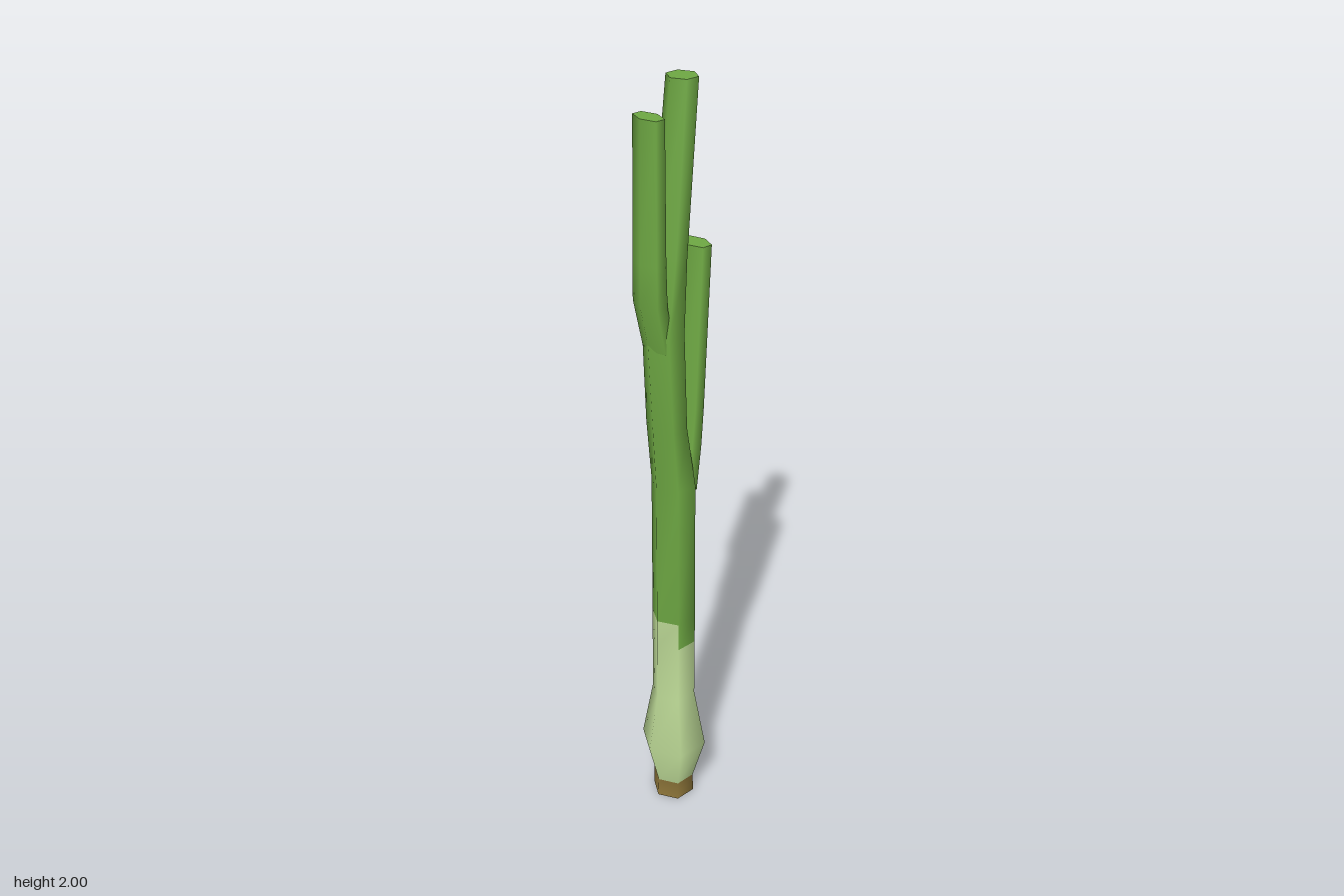
import * as THREE from 'three';

const mat = (name, color) => Object.assign(new THREE.MeshStandardMaterial({ color }), { name });

const SIDES = 6;

// Six-sided loft through rings [y, centreX, halfX, radiusZ], smooth along its length.
// bandMaterial(ring, side) picks a material index; the ends get hard-edged caps.
function loft(rings, bandMaterial = () => 0, capBottom = 0, capTop = 0) {
  const pos = [], buckets = [[], [], []];
  const addRing = ([y, cx, rx, rz]) => {
    const start = pos.length / 3;
    for (let i = 0; i < SIDES; i++) {
      const a = (i / SIDES) * Math.PI * 2;
      pos.push(cx + rx * Math.cos(a), y, rz * Math.sin(a));
    }
    return start;
  };
  rings.forEach(addRing);
  for (let r = 0; r < rings.length - 1; r++) {
    for (let i = 0; i < SIDES; i++) {
      const a = r * SIDES + i, b = r * SIDES + (i + 1) % SIDES;
      buckets[bandMaterial(r, i)].push(a, a + SIDES, b, b, a + SIDES, b + SIDES);
    }
  }
  const bottom = addRing(rings[0]), top = addRing(rings[rings.length - 1]);
  for (let i = 1; i < SIDES - 1; i++) {
    buckets[capBottom].push(bottom, bottom + i, bottom + i + 1);
    buckets[capTop].push(top, top + i + 1, top + i);
  }
  const geo = new THREE.BufferGeometry();
  geo.setAttribute('position', new THREE.Float32BufferAttribute(pos, 3));
  geo.setIndex(buckets.flat());
  let start = 0;
  buckets.forEach((b, m) => {
    if (b.length) geo.addGroup(start, b.length, m);
    start += b.length;
  });
  geo.computeVertexNormals();
  return geo;
}

export function createModel() {
  const green = mat('leafGreen', 0x6ea843);
  const pale = mat('paleStalk', 0xbfdc98);
  const brown = mat('rootBrown', 0x937a3c);
  const materials = [green, pale, brown];
  const group = new THREE.Group();
  group.name = 'leek';
  const add = (name, geo) => {
    const mesh = new THREE.Mesh(geo, materials);
    mesh.name = name;
    group.add(mesh);
  };

  // Root, bulb, stalk and tallest leaf in one run
  const stem = [
    [0, 0.001, 0.057, 0.057],
    [0.055, 0.001, 0.055, 0.056],
    [0.18, 0.002, 0.088, 0.089],
    [0.35, 0.001, 0.058, 0.058],
    [0.52, 0.001, 0.058, 0.058],
    [0.6, 0.001, 0.057, 0.058],
    [1.0, 0, 0.056, 0.057],
    [1.17, -0.022, 0.044, 0.056],
    [1.42, -0.032, 0.048, 0.054],
    [1.6, -0.013, 0.034, 0.048],
    [2.0, 0.025, 0.035, 0.039],
  ];
  // The pale colour climbs higher on the two faces at -x
  const stemColour = (r, i) => {
    if (r === 0) return 2;
    if (r < 4) return 1;
    return r === 4 && (i === 2 || i === 3) ? 1 : 0;
  };
  add('stalk', loft(stem, stemColour, 2, 0));

  // Short leaf on the left
  add('shortLeaf', loft([
    [0.98, 0.026, 0.028, 0.048],
    [1.1, 0.037, 0.030, 0.050],
    [1.2, 0.047, 0.027, 0.048],
    [1.61, 0.07, 0.027, 0.043],
  ]));

  // Upright leaf on the right
  add('uprightLeaf', loft([
    [1.38, -0.046, 0.029, 0.046],
    [1.5, -0.071, 0.030, 0.049],
    [1.6, -0.072, 0.028, 0.047],
    [1.93, -0.071, 0.025, 0.044],
  ]));

  return group;
}
